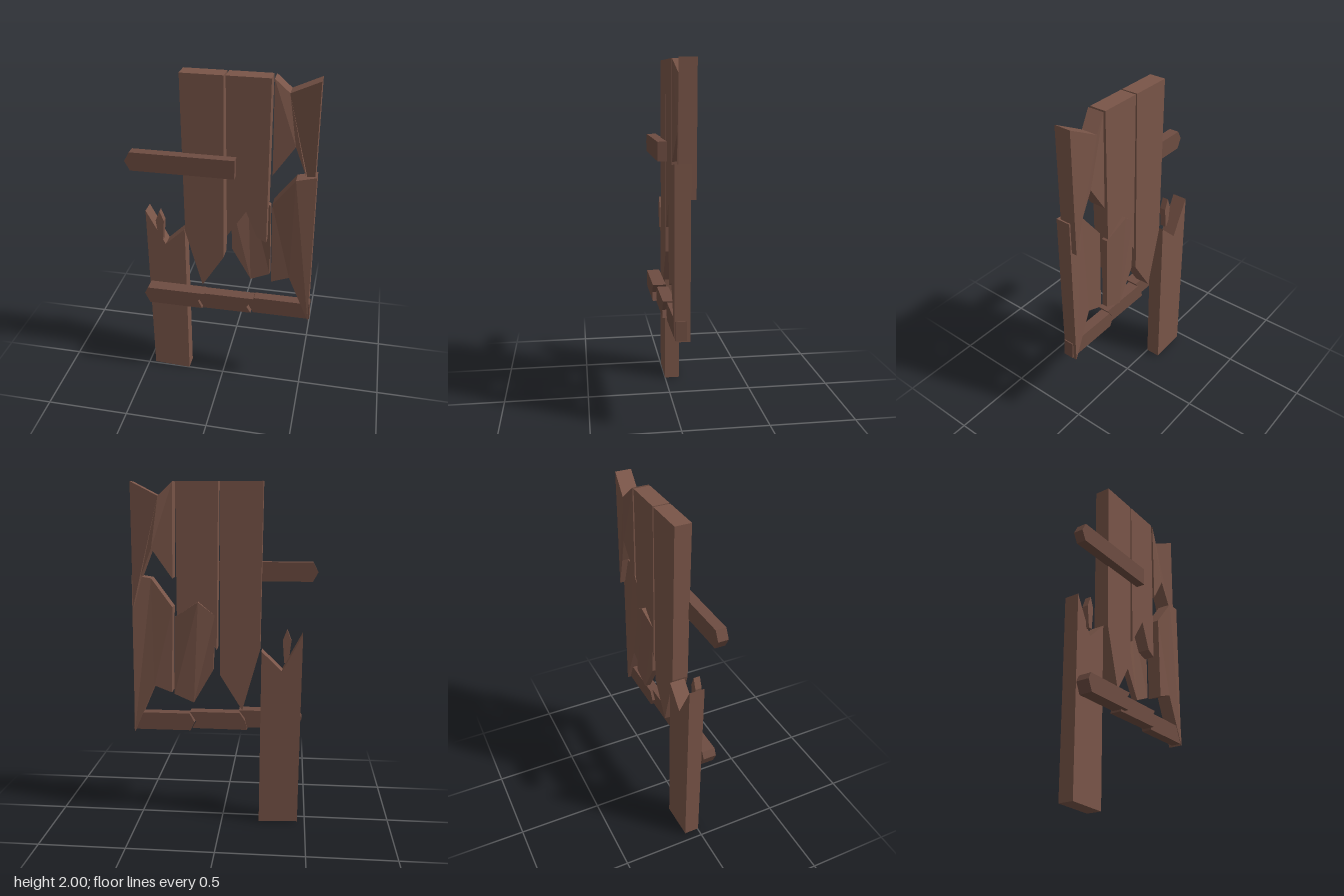
import * as THREE from 'three';

const plankMat = new THREE.MeshStandardMaterial({ color: 0x795548, flatShading: true });
const railMat = new THREE.MeshStandardMaterial({ color: 0x6d4c41, flatShading: true });

// Board cut from an outline of [x, y, zShift] corners, between zBack and zFront.
// The optional zShift bends a corner forward or back.
function board(outline, zBack, zFront, material) {
  const shape = new THREE.Shape(outline.map(([x, y]) => new THREE.Vector2(x, y)));
  const geo = new THREE.ExtrudeGeometry(shape, { depth: zFront - zBack, bevelEnabled: false });
  geo.translate(0, 0, zBack);
  const pos = geo.attributes.position;
  for (let i = 0; i < pos.count; i++) {
    const corner = outline.find(([x, y]) => Math.hypot(x - pos.getX(i), y - pos.getY(i)) < 1e-4);
    if (corner && corner[2]) pos.setZ(i, pos.getZ(i) + corner[2]);
  }
  geo.computeVertexNormals();
  return new THREE.Mesh(geo, material);
}

export function createModel() {
  const model = new THREE.Group();
  // A part may consist of several outlines, such as the two halves of a bent plank
  const add = (name, zBack, zFront, material, ...outlines) => {
    const part = new THREE.Group();
    part.name = name;
    outlines.forEach(o => part.add(board(o, zBack, zFront, material)));
    model.add(part);
  };

  // Upright planks with broken ends
  add('leftUpperPlank', -0.07, 0.025, plankMat,
    [[-0.23, 2], [-0.22, 1.05], [-0.12, 0.69], [0.01, 0.9], [0.01, 2]]);
  add('middleUpperPlank', -0.07, 0.025, plankMat,
    [[0.02, 2], [0.03, 1.05], [0.14, 1.22], [0.205, 1.06], [0.26, 1.03], [0.26, 2]]);
  add('brokenPost', -0.09, 0, plankMat,
    [[-0.455, 0.01], [-0.225, 0], [-0.23, 1.05], [-0.35, 0.935], [-0.465, 1.15]]);

  // Bent planks, each split along its fold
  add('rightUpperPlank', -0.07, 0.025, plankMat,
    [[0.275, 2], [0.283, 1.46], [0.4, 1.63, -0.012], [0.355, 1.92, -0.025]],
    [[0.355, 1.92, -0.025], [0.4, 1.63, -0.012], [0.465, 1.47], [0.515, 1.29], [0.515, 2]]);
  add('rightLowerPlank', -0.04, 0.045, plankMat,
    [[0.29, 1.29], [0.3, 0.78], [0.405, 0.82], [0.415, 1.455, 0.015]],
    [[0.415, 1.455, 0.015], [0.405, 0.82], [0.53, 0.53], [0.525, 1.475]]);
  add('middleLowerPlank', -0.07, -0.035, plankMat,
    [[0.04, 1.25], [0.05, 0.93], [0.165, 0.73], [0.135, 1.33, -0.025]],
    [[0.135, 1.33, -0.025], [0.165, 0.73], [0.28, 0.78], [0.27, 1.24]]);

  // Loose splinter above the post
  add('splinter', -0.02, 0.018, plankMat,
    [[-0.375, 1.165], [-0.4, 1.1], [-0.385, 0.97], [-0.36, 0.97], [-0.35, 1.1]]);

  // Upper cross rail and the three broken lengths of the lower rail
  add('upperRail', 0.02, 0.08, railMat,
    [[-0.545, 1.495], [-0.515, 1.44], [0.08, 1.44], [0.08, 1.55], [-0.515, 1.55]]);
  add('lowerRailLeft', 0.01, 0.09, railMat,
    [[-0.47, 0.625], [-0.44, 0.56], [-0.11, 0.56], [-0.135, 0.61], [-0.095, 0.665], [-0.45, 0.665]]);
  add('lowerRailMiddle', -0.005, 0.065, railMat,
    [[-0.145, 0.548], [0.185, 0.55], [0.16, 0.59], [0.2, 0.652], [-0.1, 0.652], [-0.135, 0.6]]);
  add('lowerRailRight', -0.02, 0.042, railMat,
    [[0.17, 0.59], [0.195, 0.54], [0.54, 0.54], [0.535, 0.645], [0.2, 0.645]]);

  return model;
}
